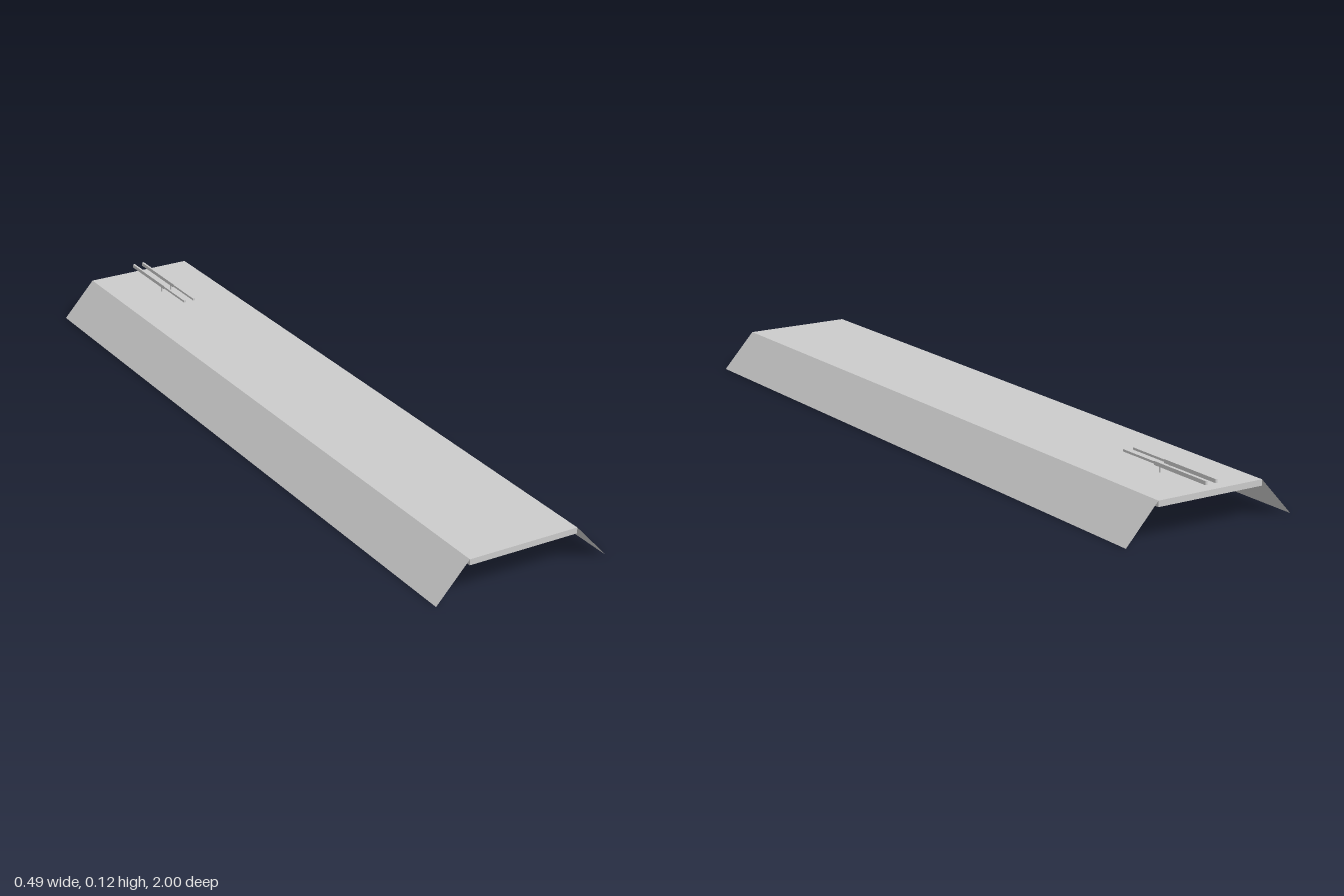
import * as THREE from 'three';

const material = new THREE.MeshStandardMaterial({ color: 0xcccccc });
const sheetMaterial = new THREE.MeshStandardMaterial({ color: 0xcccccc, side: THREE.DoubleSide });

function box(name, [x0, x1], [y0, y1], [z0, z1]) {
  const mesh = new THREE.Mesh(new THREE.BoxGeometry(x1 - x0, y1 - y0, z1 - z0), material);
  mesh.position.set((x0 + x1) / 2, (y0 + y1) / 2, (z0 + z1) / 2);
  mesh.name = name;
  return mesh;
}

// Thin sloping sheet hanging from one long edge of the deck
function flange(side) {
  const top = new THREE.Vector2(0.155, 0.101), foot = new THREE.Vector2(0.247, 0);
  const geometry = new THREE.PlaneGeometry(1, 2);
  const p = geometry.attributes.position;
  for (let i = 0; i < p.count; i++) {
    const edge = p.getX(i) * side < 0 ? top : foot;
    p.setXYZ(i, side * edge.x, edge.y, -p.getY(i));
  }
  geometry.computeVertexNormals();
  const mesh = new THREE.Mesh(geometry, sheetMaterial);
  mesh.name = side > 0 ? 'leftFlange' : 'rightFlange';
  return mesh;
}

// Slim rail on a small post: deep at the back, thin towards the front
function rail(x, name) {
  const group = new THREE.Group();
  group.name = name;
  const w = 0.003;
  group.add(
    box('railBody', [x - w, x + w], [0.115, 0.125], [-1, -0.8]),
    box('railTip', [x - w, x + w], [0.118, 0.124], [-0.8, -0.675])
  );
  const post = new THREE.Mesh(new THREE.CylinderGeometry(0.0025, 0.0025, 0.034, 10), material);
  post.position.set(x, 0.101, -0.82);
  post.name = 'railPost';
  group.add(post);
  return group;
}

export function createModel() {
  const model = new THREE.Group();
  model.name = 'flangedDeck';
  model.add(
    box('deck', [-0.155, 0.155], [0.085, 0.101], [-1, 1]),
    flange(1),
    flange(-1),
    rail(0.014, 'leftRail'),
    rail(-0.016, 'rightRail')
  );
  return model;
}
